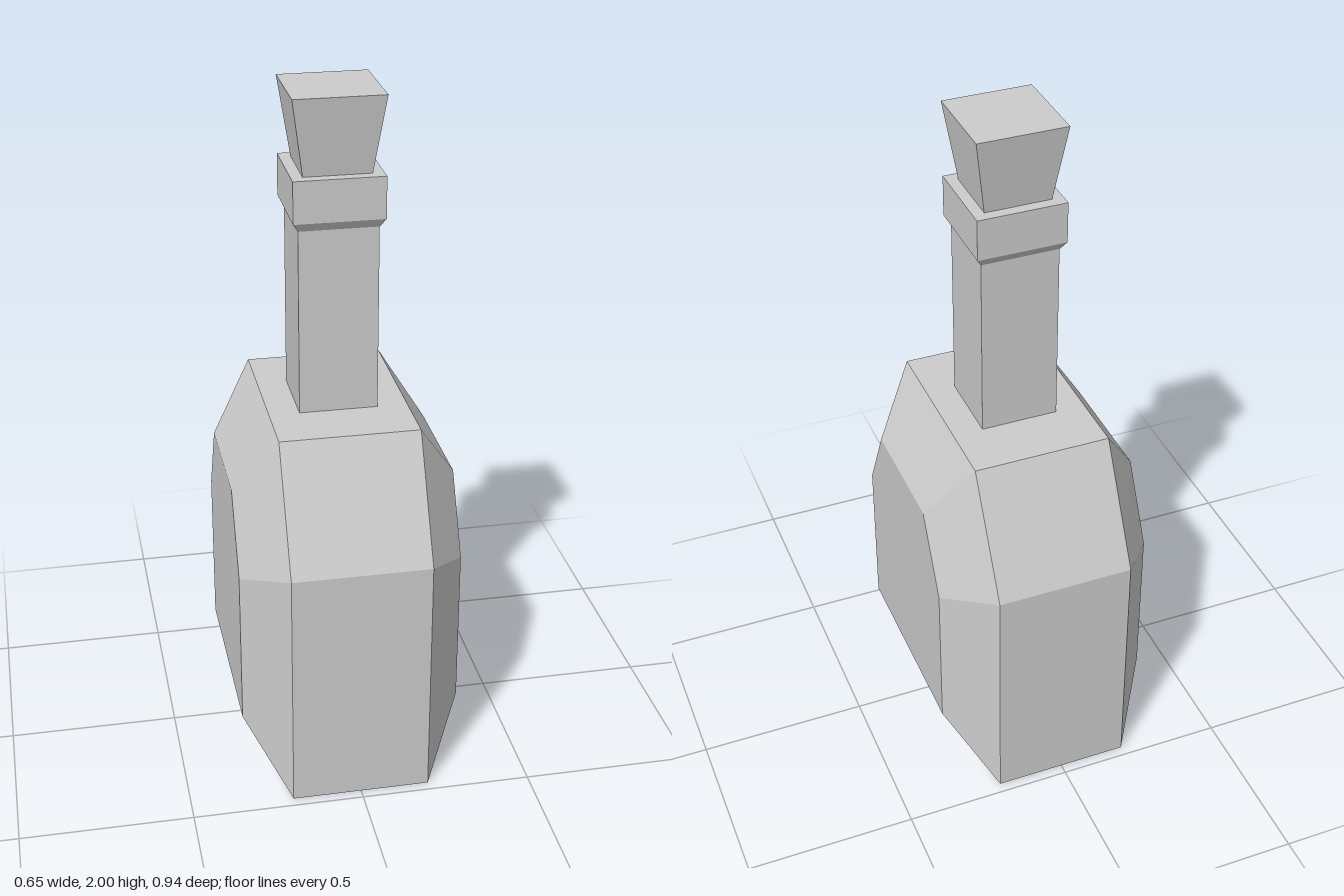
import * as THREE from 'three';
import { ConvexGeometry } from 'three/addons/geometries/ConvexGeometry.js';

const material = new THREE.MeshStandardMaterial({ color: 0xcccccc, flatShading: true });

// Square solid from a profile of [half width, height] pairs, bottom to top
function squareTurned(name, profile) {
  const points = profile.map(([half, y]) => new THREE.Vector2(half * Math.SQRT2, y));
  const mesh = new THREE.Mesh(new THREE.LatheGeometry(points, 4, Math.PI / 4), material);
  mesh.name = name;
  return mesh;
}

export function createModel() {
  const group = new THREE.Group();
  group.name = 'bottle';

  // Faceted body: a six-sided silhouette with a smaller one on each side
  const outlines = [
    { x: 0.202, outline: [[0.469, 0], [0.469, 0.735], [0.286, 1.08]] },
    { x: 0.325, outline: [[0.304, 0.192], [0.304, 0.665], [0.187, 0.89]] },
  ];
  const corners = [];
  for (const { x, outline } of outlines)
    for (const [z, y] of outline)
      for (const sx of [-1, 1])
        for (const sz of [-1, 1]) corners.push(new THREE.Vector3(sx * x, y, sz * z));
  const body = new THREE.Mesh(new ConvexGeometry(corners), material);
  body.name = 'body';
  group.add(body);

  // Neck, rising to a bevelled lip
  group.add(squareTurned('neck', [[0.114, 1.08], [0.114, 1.627]]));
  group.add(squareTurned('lip', [[0.114, 1.627], [0.13, 1.653], [0.13, 1.775], [0, 1.775]]));

  // Stopper, widening upwards
  group.add(squareTurned('stopper', [[0.097, 1.775], [0.13, 2], [0, 2]]));

  return group;
}
